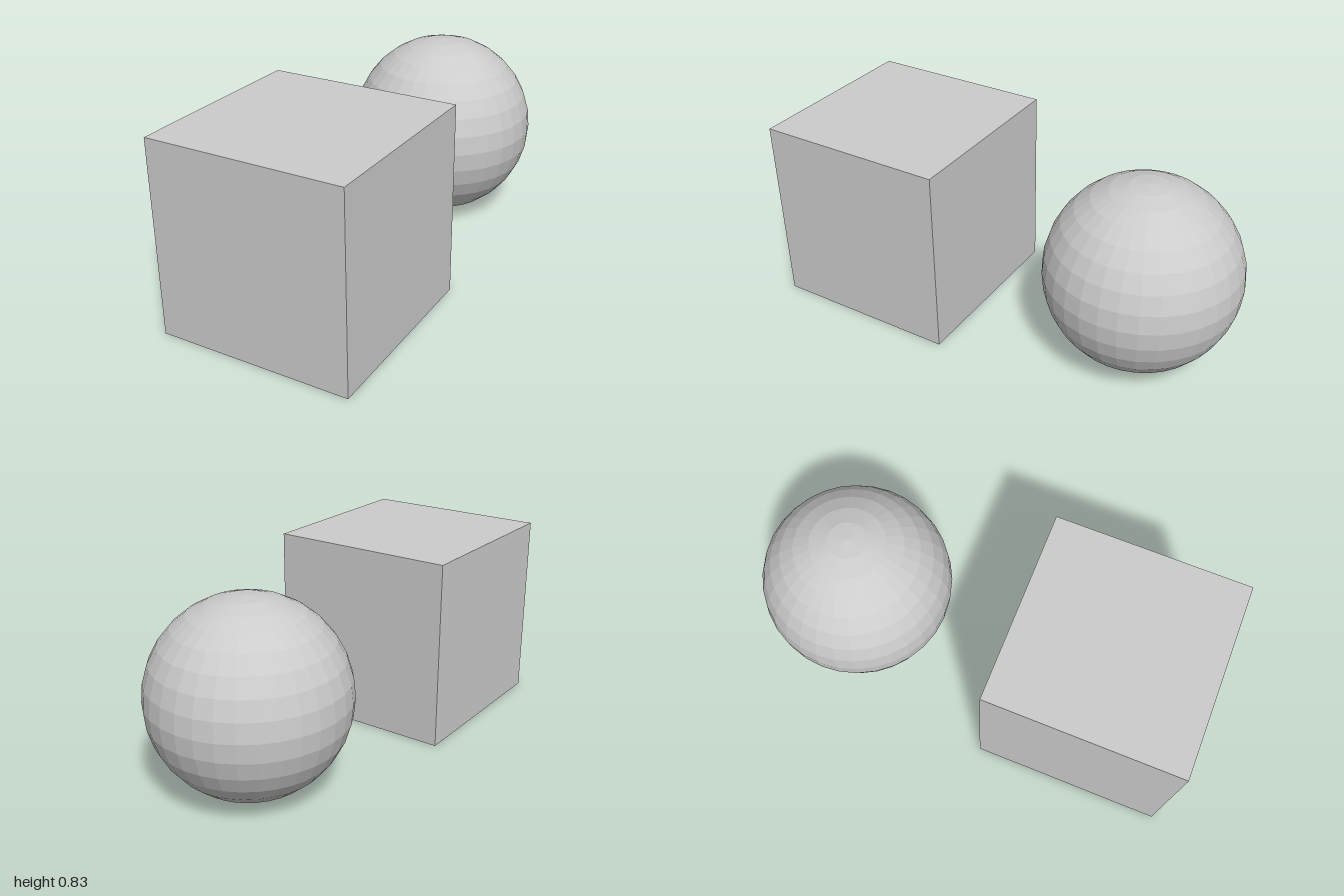
import * as THREE from 'three';

const SIZE = 5 / 6; // cube edge and ball diameter
const OFFSET = 1 - SIZE / 2; // distance of each centre from the origin along z

export function createModel() {
  const model = new THREE.Group();
  const material = new THREE.MeshStandardMaterial({ color: 0xcccccc, flatShading: true });

  const addPart = (name, geometry, z) => {
    const mesh = new THREE.Mesh(geometry, material);
    mesh.name = name;
    mesh.position.set(0, SIZE / 2, z);
    model.add(mesh);
  };

  // Cube in front, faceted ball behind
  addPart('cube', new THREE.BoxGeometry(SIZE, SIZE, SIZE), OFFSET);
  addPart('ball', new THREE.SphereGeometry(SIZE / 2, 32, 16), -OFFSET);

  return model;
}
